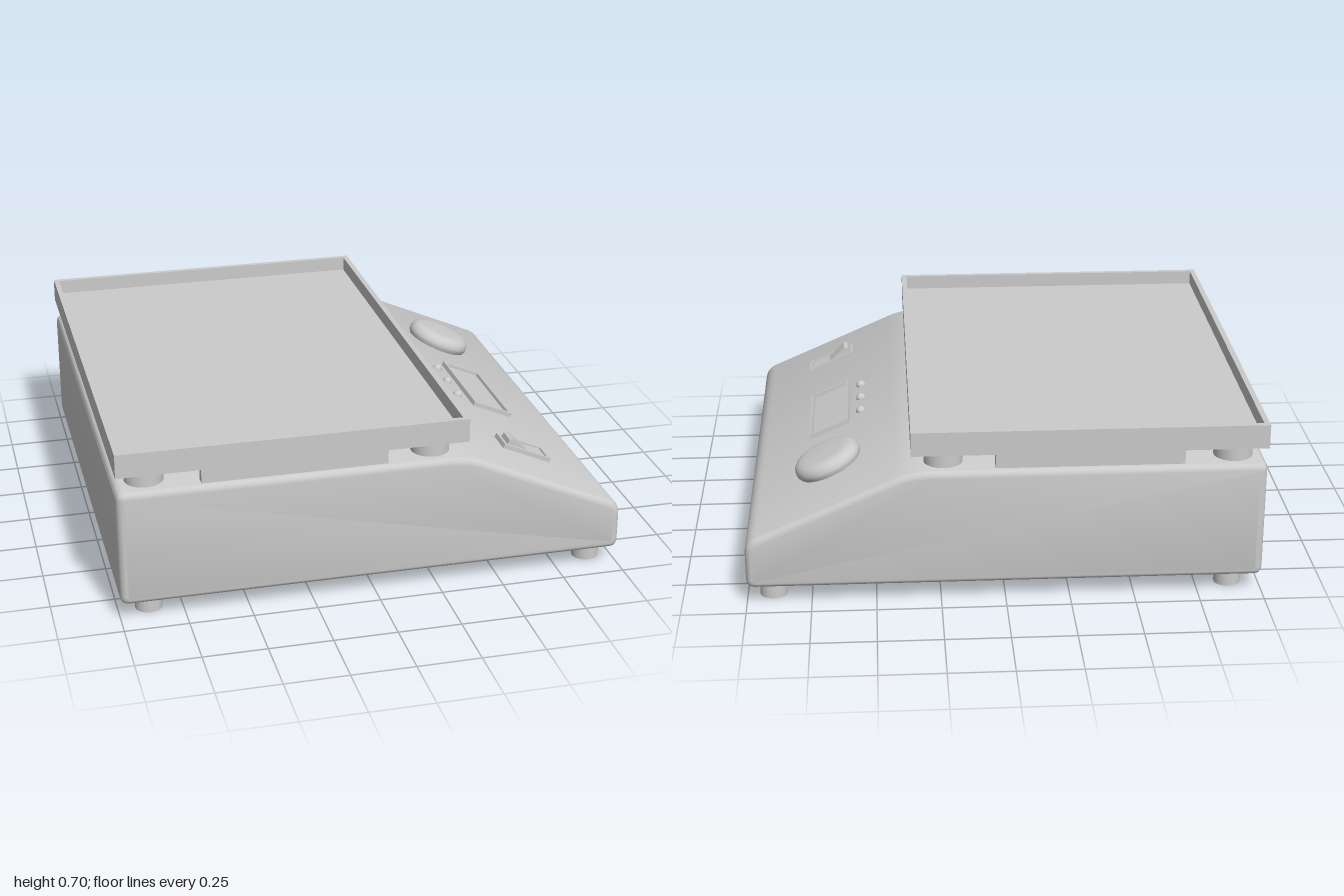
import * as THREE from 'three';
import { toCreasedNormals } from 'three/addons/utils/BufferGeometryUtils.js';

const material = new THREE.MeshStandardMaterial({ color: 0xcccccc });

function add(parent, name, geometry, x = 0, y = 0, z = 0) {
  const mesh = new THREE.Mesh(geometry, material);
  mesh.name = name;
  mesh.position.set(x, y, z);
  parent.add(mesh);
  return mesh;
}

// Closed outline with rounded corners; each corner is [x, y, radius]
function roundedShape(corners) {
  const shape = new THREE.Shape();
  corners.forEach(([x, y, r], i) => {
    const p = new THREE.Vector2(x, y);
    const n = corners.length;
    const towards = ([a, b]) => new THREE.Vector2(a, b).sub(p).setLength(r).add(p);
    const start = towards(corners[(i + n - 1) % n]);
    const end = towards(corners[(i + 1) % n]);
    if (i === 0) shape.moveTo(start.x, start.y);
    else shape.lineTo(start.x, start.y);
    shape.quadraticCurveTo(x, y, end.x, end.y);
  });
  shape.closePath();
  return shape;
}

// Rectangular frame lying flat, standing on y = 0
function frame(width, depth, height, wall) {
  const rect = (path, w, d) => path.moveTo(-w, -d).lineTo(w, -d).lineTo(w, d).lineTo(-w, d).closePath();
  const shape = rect(new THREE.Shape(), width / 2, depth / 2);
  shape.holes.push(rect(new THREE.Path(), width / 2 - wall, depth / 2 - wall));
  return new THREE.ExtrudeGeometry(shape, { depth: height, bevelEnabled: false }).rotateX(-Math.PI / 2);
}

export function createModel() {
  const model = new THREE.Group();
  model.name = 'benchScale';

  // Housing: side profile with sloping control face, rounded edges
  const bevel = 0.03;
  const profile = roundedShape([
    [-1, 0.07, 0.035], [1, 0.07, 0.035], [1, 0.265, 0.05], [0.36, 0.545, 0.07], [-1, 0.545, 0.035],
  ]);
  const housing = new THREE.ExtrudeGeometry(profile, {
    depth: 1.88 - 2 * bevel, bevelThickness: bevel, bevelSize: bevel,
    bevelOffset: -bevel, bevelSegments: 5, curveSegments: 6,
  }).translate(0, 0, -0.94 + bevel);
  add(model, 'housing', toCreasedNormals(housing, 0.6));

  // Feet and plate supports
  for (const z of [-0.83, 0.83]) {
    for (const x of [-0.88, 0.9]) {
      add(model, 'foot', new THREE.CylinderGeometry(0.053, 0.053, 0.08, 32), x, 0.04, z);
    }
    for (const x of [-0.88, 0.235]) {
      add(model, 'plateSupport', new THREE.CylinderGeometry(0.075, 0.075, 0.08, 32), x, 0.575, z);
    }
  }

  // Weighing tray with raised rim and side skirts
  const tray = new THREE.Group();
  tray.name = 'tray';
  tray.position.x = -0.32;
  model.add(tray);
  add(tray, 'trayFloor', new THREE.BoxGeometry(1.33, 0.035, 1.85), 0, 0.6285, 0);
  add(tray, 'trayRim', frame(1.36, 1.88, 0.095, 0.022), 0, 0.61, 0);
  for (const z of [-0.92, 0.92]) {
    add(tray, 'traySkirt', new THREE.BoxGeometry(0.72, 0.06, 0.04), 0, 0.585, z);
  }

  // Control face: local y is normal to the slope
  const panel = new THREE.Group();
  panel.name = 'controlPanel';
  panel.position.set(0.68, 0.405, 0);
  panel.rotation.z = -Math.atan2(0.28, 0.64);
  model.add(panel);

  // Display window
  add(panel, 'displayFrame', frame(0.18, 0.45, 0.018, 0.014), 0, 0, 0.04);
  add(panel, 'displayScreen', new THREE.BoxGeometry(0.155, 0.01, 0.425), 0, 0, 0.04);

  // Indicator lights
  const dome = new THREE.SphereGeometry(0.02, 20, 8, 0, Math.PI * 2, 0, Math.PI / 2);
  for (const z of [-0.105, 0.04, 0.187]) add(panel, 'indicatorLight', dome, -0.14, 0, z);

  // Rocker switch
  add(panel, 'switchFrame', frame(0.215, 0.11, 0.018, 0.014), 0, 0, 0.647);
  const rocker = new THREE.Shape();
  rocker.moveTo(-0.088, -0.01).lineTo(0.088, -0.01).lineTo(0.088, 0.014)
    .lineTo(0.01, 0.012).lineTo(-0.075, 0.045).lineTo(-0.088, 0.035).closePath();
  const rockerGeometry = new THREE.ExtrudeGeometry(rocker, { depth: 0.076, bevelEnabled: false });
  add(panel, 'switchRocker', rockerGeometry, 0, 0, 0.609);

  // Rotary knob with softly rounded top
  const knobProfile = [[0.128, -0.005], [0.137, 0.012], [0.138, 0.025], [0.133, 0.041],
    [0.122, 0.053], [0.105, 0.06], [0.08, 0.063], [0, 0.064]];
  const knob = new THREE.LatheGeometry(knobProfile.map(([r, y]) => new THREE.Vector2(r, y)), 48);
  add(panel, 'knob', knob, -0.005, 0, -0.525);

  return model;
}
